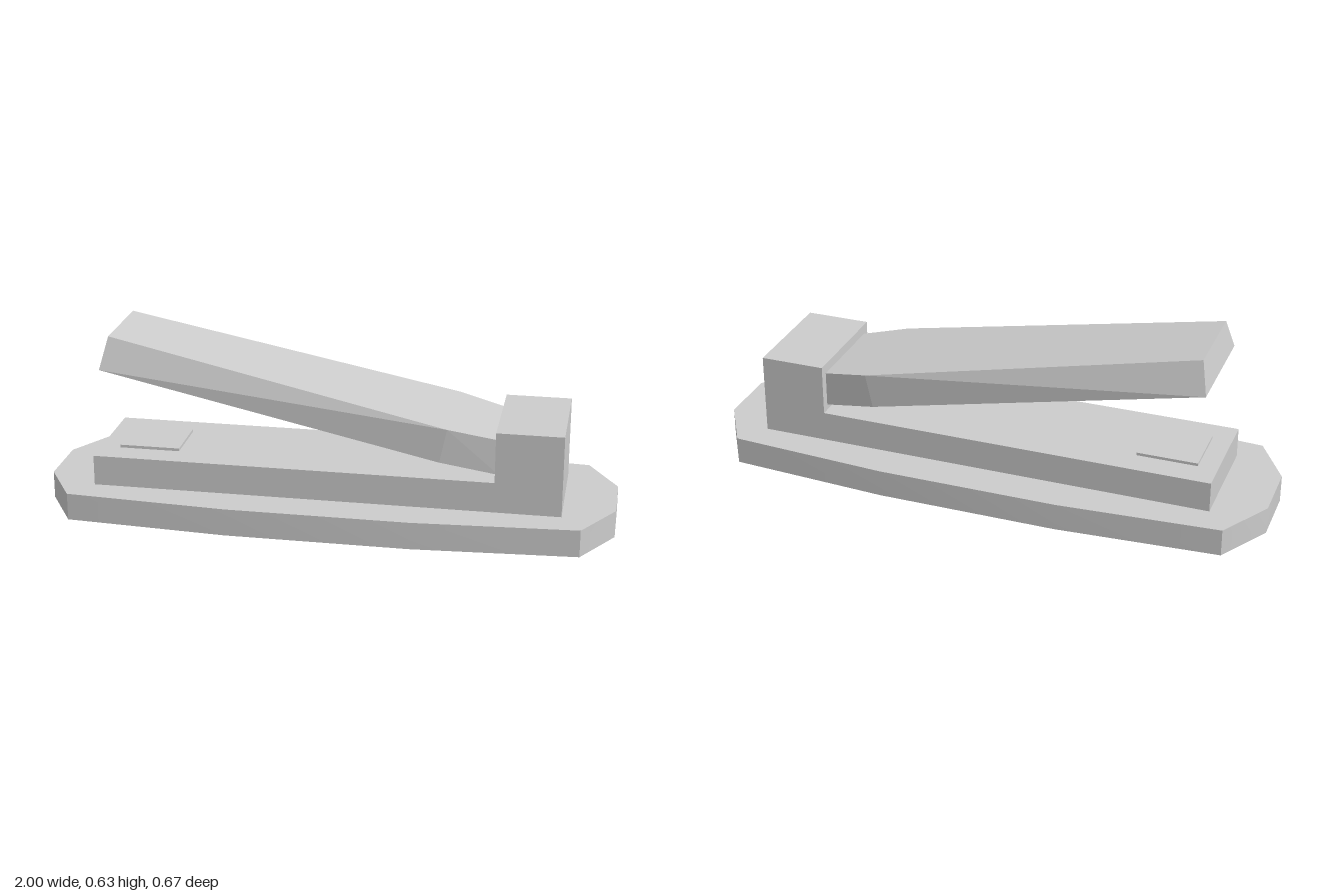
import * as THREE from 'three';
import { toCreasedNormals } from 'three/addons/utils/BufferGeometryUtils.js';
import { ConvexGeometry } from 'three/addons/geometries/ConvexGeometry.js';

const grey = new THREE.MeshStandardMaterial({ color: 0xcccccc });

function part(name, geometry) {
  const mesh = new THREE.Mesh(geometry, grey);
  mesh.name = name;
  return mesh;
}

// Box given by its extents in x and y, centred on z = 0
function slab(name, x0, x1, y0, y1, halfDepth) {
  const geometry = new THREE.BoxGeometry(x1 - x0, y1 - y0, halfDepth * 2);
  geometry.translate((x0 + x1) / 2, (y0 + y1) / 2, 0);
  return part(name, geometry);
}

// Foot plate: a twelve-sided outline mirrored from its front half
function basePlate() {
  const half = [[-1, 0.11], [-0.89, 0.297], [-0.32, 0.334], [0.32, 0.334], [0.89, 0.297], [1, 0.11]];
  const outline = [...half, ...half.map(([x, z]) => [x, -z]).reverse()];
  const shape = new THREE.Shape(outline.map(([x, z]) => new THREE.Vector2(x, z)));
  const geometry = new THREE.ExtrudeGeometry(shape, { depth: 0.097, bevelEnabled: false });
  geometry.rotateX(-Math.PI / 2);
  return part('basePlate', toCreasedNormals(geometry, 0.7));
}

// Sloping arm: tip, bend and hinge end, each [x, y, half width]
function arm() {
  const rows = [
    [-0.785, 0.525, 0.196], [-0.76, 0.635, 0.153],
    [0.4, 0.266, 0.196], [0.425, 0.386, 0.196],
    [0.6, 0.223, 0.165], [0.6, 0.348, 0.165],
  ];
  const points = rows.flatMap(([x, y, w]) => [1, -1].map((s) => new THREE.Vector3(x, y, s * w)));
  return part('arm', new ConvexGeometry(points));
}

export function createModel() {
  const model = new THREE.Group();
  model.name = 'stapler';

  model.add(basePlate());
  model.add(slab('lowerBody', -0.82, 0.82, 0.097, 0.205, 0.196));
  model.add(slab('hingeBlock', 0.59, 0.82, 0.2, 0.385, 0.196));
  model.add(slab('anvilPlate', -0.75, -0.535, 0.2, 0.215, 0.1));
  model.add(arm());

  // Striker under the arm's tip, tilted with the arm
  const striker = slab('striker', -0.05, 0.05, -0.01, 0.01, 0.12);
  striker.position.set(-0.641, 0.493, 0);
  striker.rotation.z = -Math.atan(0.218);
  model.add(striker);

  return model;
}
